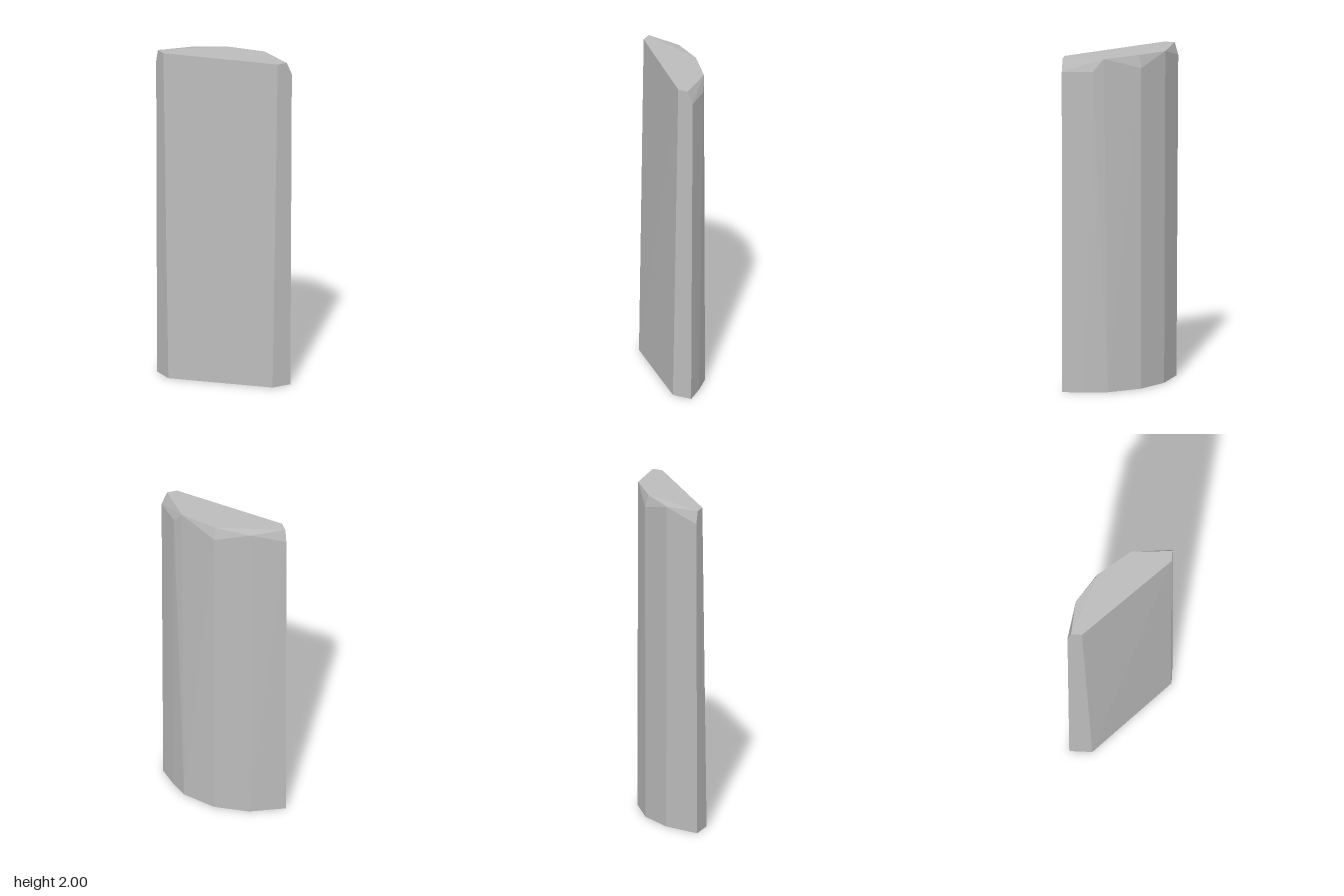
import * as THREE from 'three';
import { ConvexGeometry } from 'three/addons/geometries/ConvexGeometry.js';

export function createModel() {
  const group = new THREE.Group();
  group.name = 'stoneSlab';
  const stone = new THREE.MeshStandardMaterial({ color: 0xbcbcbc });
  stone.name = 'grey stone';

  // Base outline [x, z] on the ground
  const base = [
    [-0.29, -0.15], [0.16, 0.295], [0.28, 0.295], [0.265, 0.165],
    [0.236, 0.03], [0.106, -0.144], [-0.075, -0.25], [-0.29, -0.285],
  ].map(([x, z]) => [x, 0, z]);

  // Outer corners where the chipped bevel begins
  const shoulder = [
    [0.29, 0.295], [0.271, 0.116], [0.107, -0.146], [-0.29, -0.296],
  ].map(([x, z]) => [x, 1.925, z]);

  // Top outline; two of its corners reach the outer wall without a bevel
  const top = [
    [-0.29, 2, -0.21], [0.195, 2, 0.295], [0.256, 2, 0.295], [0.241, 2, 0.053],
    [0.095, 2, -0.13], [-0.081, 1.99, -0.256], [-0.29, 2, -0.275],
  ];

  // Faceted solid wrapped around the three outlines
  const points = [...base, ...shoulder, ...top].map((p) => new THREE.Vector3(...p));
  const slab = new THREE.Mesh(new ConvexGeometry(points), stone);
  slab.name = 'slab';
  group.add(slab);
  return group;
}
